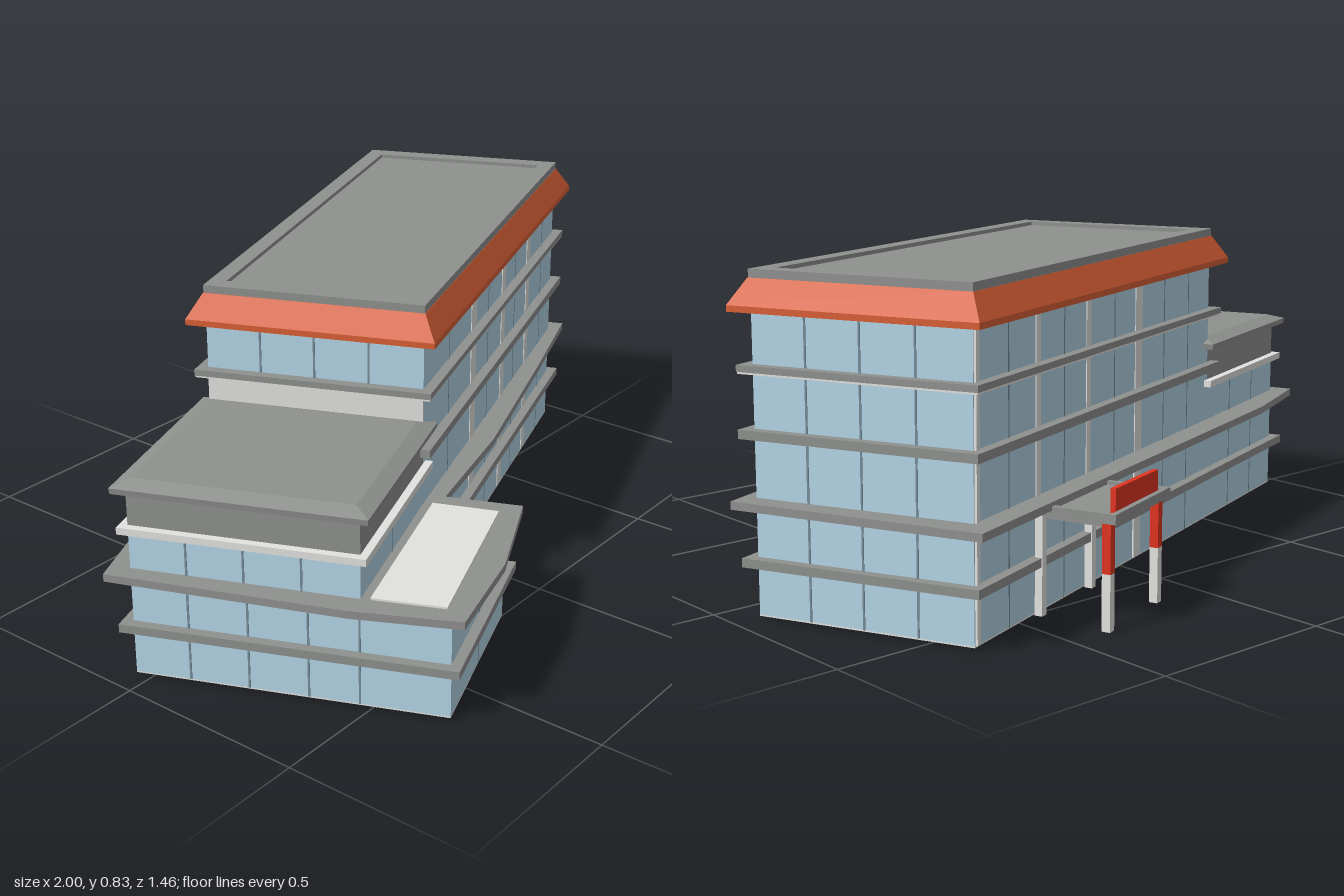
import * as THREE from 'three';

const mat = (name, color) => {
  const m = new THREE.MeshStandardMaterial({ color });
  m.name = name;
  return m;
};

// Grow a plan outline (points [x, z], anticlockwise from above) by d, with mitred corners
function outset(pts, d) {
  const n = pts.length;
  const normal = (a, b) => {
    const l = Math.hypot(b[0] - a[0], b[1] - a[1]);
    return [-(b[1] - a[1]) / l, (b[0] - a[0]) / l];
  };
  return pts.map((p, i) => {
    const u = normal(pts[(i + n - 1) % n], p), v = normal(p, pts[(i + 1) % n]);
    const k = d / (1 + u[0] * v[0] + u[1] * v[1]);
    return [p[0] + (u[0] + v[0]) * k, p[1] + (u[1] + v[1]) * k];
  });
}

const toVectors = (pts) => pts.map(([x, z]) => new THREE.Vector2(x, -z));

// Upright solid from a plan outline, optionally with a hole
function prism(pts, y0, y1, hole) {
  const shape = new THREE.Shape(toVectors(pts));
  if (hole) shape.holes.push(new THREE.Path(toVectors(hole)));
  const g = new THREE.ExtrudeGeometry(shape, { depth: y1 - y0, bevelEnabled: false });
  return g.rotateX(-Math.PI / 2).translate(0, y0, 0);
}

// Flat-faced skin through four-cornered rings [outline, y], closed at both ends
function loft(rings) {
  const v = [];
  const quad = (a, b, c, d) => v.push(...a, ...b, ...c, ...a, ...c, ...d);
  const R = rings.map(([pts, y]) => pts.map(([x, z]) => [x, y, z]));
  for (let r = 0; r < R.length - 1; r++) {
    for (let i = 0; i < 4; i++) {
      const j = (i + 1) % 4;
      quad(R[r][i], R[r][j], R[r + 1][j], R[r + 1][i]);
    }
  }
  quad(...R[R.length - 1]);
  quad(...[...R[0]].reverse());
  const g = new THREE.BufferGeometry();
  g.setAttribute('position', new THREE.Float32BufferAttribute(v, 3));
  g.computeVertexNormals();
  return g;
}

export function createModel() {
  const glass = mat('blue glass', 0xb4d5e7);
  const frame = mat('dark frame', 0x768c98);
  const grey = mat('grey concrete', 0x8f918f);
  const light = mat('light concrete', 0xe2e2e0);
  const orange = mat('orange roof', 0xd95f36);
  const red = mat('red paint', 0xe0331f);

  const model = new THREE.Group();
  model.name = 'officeBuilding';
  const add = (name, geometry, material) => {
    const m = new THREE.Mesh(geometry, material);
    m.name = name;
    model.add(m);
    return m;
  };

  // Plan corners
  const NW = [-0.48, -0.2], SW = [-0.26, 0.31], SE = [0.935, -0.1], NE = [0.705, -0.61];
  const wingNW = [-0.94, -0.035], wingSW = [-0.72, 0.48];
  const blockSW = [-0.634, 0.675], blockSE = [-0.18, 0.505];
  const tower = [NW, SW, SE, NE];
  const wing = [wingNW, wingSW, SW, NW];
  const lower = [wingNW, blockSW, blockSE, SW, SE, NE];

  // Ground slab and glazed storeys
  add('groundSlab', prism(lower, 0.008, 0.012), light);
  add('lowerStoreys', prism(lower, 0.012, 0.285), glass);
  add('wingStorey', prism(wing, 0.285, 0.4), glass);
  add('towerStoreys', prism(tower, 0.285, 0.74), glass);

  // Floor ledges, the second one wide with bowed edges
  add('firstLedge', prism(outset(lower, 0.026), 0.13, 0.152), grey);
  add('wideLedge', prism([
    [-1, -0.064], [-0.78, 0.49], [-0.658, 0.727], [-0.385, 0.647], [-0.112, 0.513], [-0.19, 0.33],
    [0.166, 0.23], [0.663, 0.043], [0.998, -0.088], [0.743, -0.684], [-0.73, -0.187],
  ], 0.274, 0.294), grey);
  add('thirdLedge', prism(outset(tower, 0.026), 0.436, 0.458), grey);
  add('fourthLedge', prism(outset(tower, 0.026), 0.593, 0.609), grey);
  add('fourthLedgeTrim', prism(outset(tower, 0.024), 0.588, 0.593), light);
  add('terraceFloor', prism([[-0.71, 0.5], [-0.636, 0.663], [-0.18, 0.487], [-0.245, 0.33]], 0.293, 0.299), light);

  // Low wing roof
  add('wingLedge', prism(outset(wing, 0.02), 0.39, 0.408), light);
  add('wingUpperWall', prism(wing, 0.408, 0.505), grey);
  add('wingRoof', loft([
    [outset(wing, 0.026), 0.497], [outset(wing, 0.028), 0.512], [outset(wing, -0.012), 0.526],
  ]), grey);

  // Main roof: sloping eaves, parapet and sunken deck
  add('roofEaves', loft([
    [outset(tower, 0.038), 0.732], [outset(tower, 0.038), 0.747], [outset(tower, 0.004), 0.808],
  ]), orange);
  add('parapet', prism(outset(tower, 0.003), 0.805, 0.828, outset(tower, -0.04)), grey);
  add('roofDeck', prism(outset(tower, -0.037), 0.805, 0.818), grey);

  // Thin upright strip lying on the wall from a to b, at fraction t
  const strip = (name, a, b, t, width, y0, y1, material, depth) => {
    const m = add(name, new THREE.BoxGeometry(width, y1 - y0, depth), material);
    m.position.set(a[0] + (b[0] - a[0]) * t, (y0 + y1) / 2, a[1] + (b[1] - a[1]) * t);
    m.rotation.y = -Math.atan2(b[1] - a[1], b[0] - a[0]);
  };
  const mullions = (a, b, ts, y0, y1) => ts.forEach((t) => strip('mullion', a, b, t, 0.005, y0, y1, frame, 0.004));

  // Window divisions on each wall
  mullions(SW, SE, [0.16, 0.445, 0.66, 0.895], 0.012, 0.735);
  mullions(SE, NE, [0.25, 0.5, 0.75], 0.012, 0.735);
  mullions(NE, NW, [0.12, 0.33, 0.54, 0.77, 0.89], 0.012, 0.735);
  mullions(NW, wingNW, [0.33, 0.67], 0.012, 0.39);
  mullions(wingNW, blockSW, [0.18, 0.37, 0.56, 0.72], 0.012, 0.275);
  mullions(wingNW, wingSW, [0.25, 0.5, 0.75], 0.29, 0.39);
  mullions(blockSW, blockSE, [0.5], 0.012, 0.275);
  mullions(wingSW, SW, [0.48], 0.29, 0.39);
  mullions(NW, SW, [0.25, 0.5, 0.75], 0.608, 0.735);

  // Concrete pilasters nearly flush with the glass, front and back
  for (const [t, w] of [[0.338, 0.046], [0.568, 0.036], [0.775, 0.034]]) {
    strip('frontPilaster', SW, SE, t, w, 0.012, 0.737, light, 0.004);
  }
  for (const [t, w] of [[0.23, 0.022], [0.43, 0.022], [0.65, 0.038]]) {
    strip('backPilaster', NE, NW, t, w, 0.012, 0.737, light, 0.004);
  }
  strip('cornerPilaster', NE, NW, 0.008, 0.014, 0.012, 0.737, light, 0.012);
  strip('blankWestWall', NW, SW, 0.5, 0.555, 0.5, 0.59, light, 0.006);

  // Back entrance canopy reaching to the wall
  const canopy = [[0.118, -0.64], [0.203, -0.43], [0.476, -0.515], [0.396, -0.738]];
  add('canopySlab', prism(canopy, 0.26, 0.276), grey);
  add('canopyRim', prism(canopy, 0.276, 0.284, outset(canopy, -0.014)), grey);
  strip('entranceSign', [0.166, -0.636], [0.37, -0.702], 0.5, 0.214, 0.276, 0.335, red, 0.014);

  const outer = [[0.147, -0.622], [0.385, -0.704]], inner = [[0.205, -0.455], [0.443, -0.537]];
  outer.forEach((p, i) => {
    strip('canopyPostBase', p, outer[1 - i], 0, 0.022, 0, 0.138, light, 0.022);
    strip('canopyPostTop', p, outer[1 - i], 0, 0.022, 0.138, 0.262, red, 0.022);
    strip('canopyWallPost', inner[i], inner[1 - i], 0, 0.02, 0.01, 0.262, light, 0.02);
    strip('canopySideBeam', p, inner[i], 0.5, 0.16, 0.248, 0.262, grey, 0.012);
  });
  return model;
}
